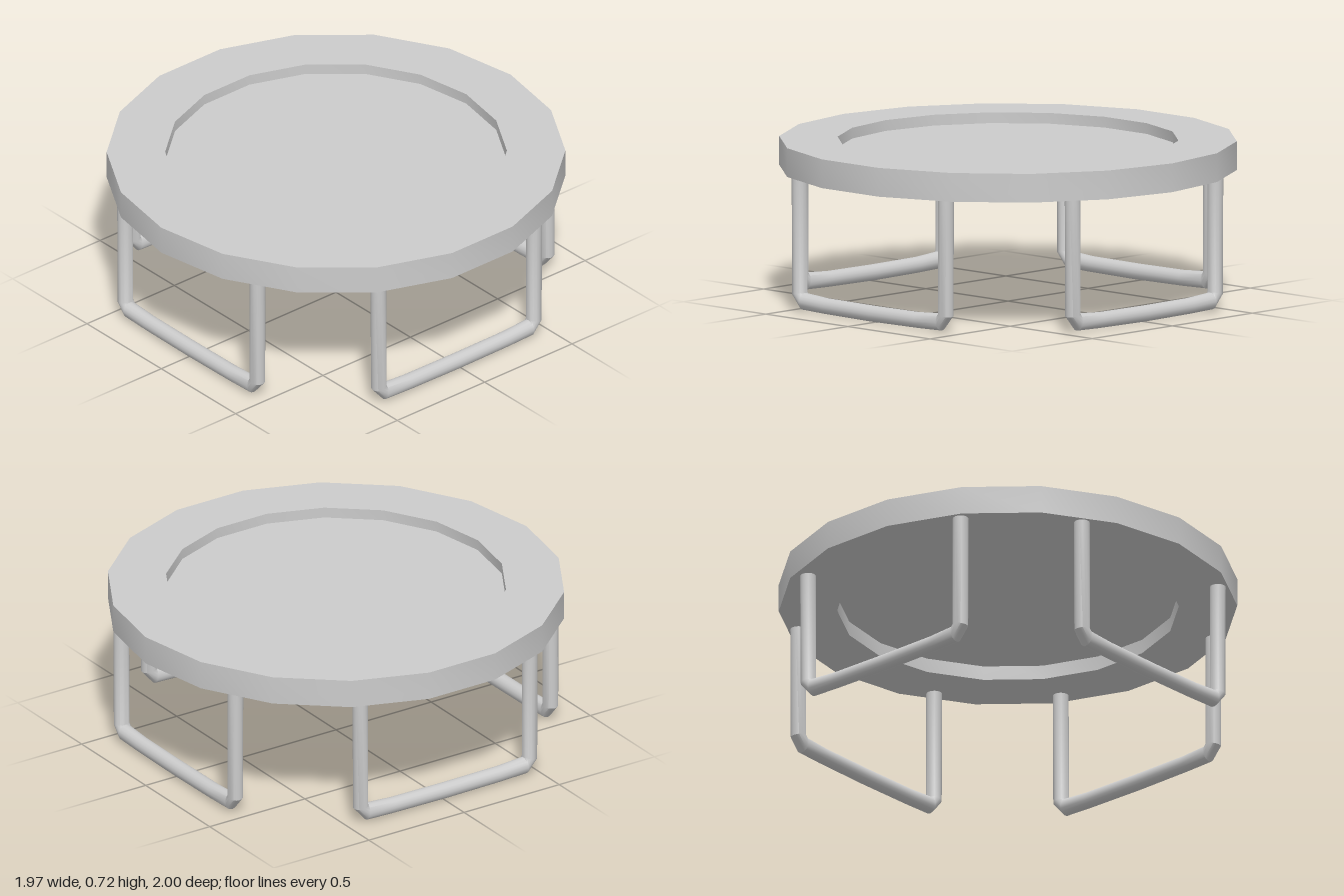
import * as THREE from 'three';
import { toCreasedNormals } from 'three/addons/utils/BufferGeometryUtils.js';

const SIDES = 18;   // sides of the round frame
const TUBE = 16;    // sides of the leg tube
const R = 0.035;    // leg tube radius

// U-shaped leg in the XY plane, lofted through tilted rings
function legGeometry() {
  // each ring: inner x, inner y, outer x, outer y
  const half = [
    [-0.411, 0.6, -0.48, 0.6],
    [-0.411, 0.085, -0.477, 0.072],
    [-0.411, 0.083, -0.42, 0.007],
    [-0.28, 0.074, -0.28, 0.003],
  ];
  const mirrored = half.map(([a, b, c, d]) => [-a, b, -c, d]).reverse();
  const rings = [...half, [0, 0.072, 0, 0], ...mirrored];

  const positions = [], index = [];
  rings.forEach(([ix, iy, ox, oy], i) => {
    for (let j = 0; j < TUBE; j++) {
      const t = (j / TUBE) * Math.PI * 2, c = Math.cos(t) / 2;
      positions.push((ix + ox) / 2 + c * (ix - ox), (iy + oy) / 2 + c * (iy - oy), R * Math.sin(t));
      if (i === rings.length - 1) continue;
      const k = (j + 1) % TUBE, p = i * TUBE, q = p + TUBE;
      index.push(p + j, p + k, q + j, p + k, q + k, q + j);
    }
  });
  const geometry = new THREE.BufferGeometry();
  geometry.setAttribute('position', new THREE.Float32BufferAttribute(positions, 3));
  geometry.setIndex(index);
  return toCreasedNormals(geometry, 0.6);
}

export function createModel() {
  const model = new THREE.Group();
  model.name = 'trampoline';
  const material = new THREE.MeshStandardMaterial({ color: 0xcccccc });
  const add = (name, geometry) => {
    const mesh = new THREE.Mesh(geometry, material);
    mesh.name = name;
    model.add(mesh);
    return mesh;
  };

  // Ring frame with a rectangular section
  const section = [[0.745, 0.59], [1, 0.59], [1, 0.717], [0.745, 0.717], [0.745, 0.59]]
    .map(([x, y]) => new THREE.Vector2(x, y));
  add('frame', toCreasedNormals(new THREE.LatheGeometry(section, SIDES), 0.6));

  // Thin mat set between the upper and lower faces of the frame
  const mat = new THREE.CylinderGeometry(0.745, 0.745, 0.015, SIDES);
  add('mat', mat).position.y = 0.662;

  // Four legs: front, left, back, right
  const leg = legGeometry();
  ['frontLeg', 'leftLeg', 'backLeg', 'rightLeg'].forEach((name, i) => {
    const mesh = add(name, leg);
    const angle = (i * Math.PI) / 2;
    mesh.rotation.y = angle;
    mesh.position.set(0.828 * Math.sin(angle), 0, 0.828 * Math.cos(angle));
    if (i % 2) mesh.position.z += 0.016;
  });

  return model;
}
